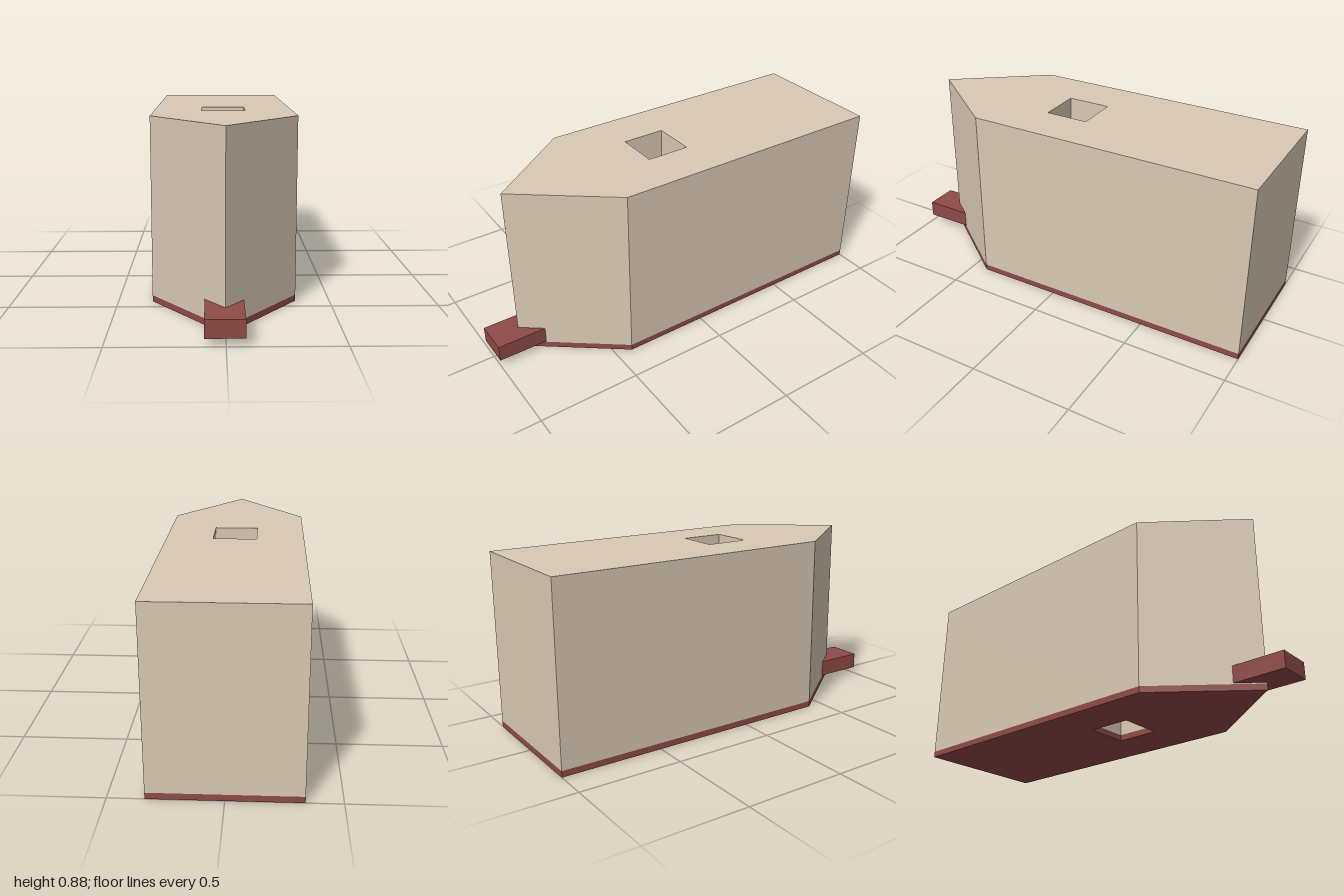
import * as THREE from 'three';

const tan = new THREE.MeshStandardMaterial({ color: 0xd9c9b5 });
const red = new THREE.MeshStandardMaterial({ color: 0x8f4a47 });

// Pointed plan outline with a square shaft, extruded upwards from y0 to y1
function slab(name, y0, y1, material) {
  const toPlan = ([x, z]) => new THREE.Vector2(x, -z);
  const outline = [[-0.338, -1], [-0.338, 0.42], [0, 0.86], [0.338, 0.42], [0.338, -1]];
  const shaft = [[-0.106, -0.06], [0.108, -0.06], [0.108, 0.154], [-0.106, 0.154]];
  const shape = new THREE.Shape(outline.map(toPlan));
  shape.holes.push(new THREE.Path(shaft.map(toPlan)));
  const geometry = new THREE.ExtrudeGeometry(shape, { depth: y1 - y0, bevelEnabled: false });
  geometry.rotateX(-Math.PI / 2);
  const mesh = new THREE.Mesh(geometry, material);
  mesh.position.y = y0;
  mesh.name = name;
  return mesh;
}

export function createModel() {
  const model = new THREE.Group();
  model.name = 'pointedBlock';

  // Thin base plate and tall body share the same plan
  model.add(slab('basePlate', 0, 0.03, red));
  model.add(slab('body', 0.03, 0.88, tan));

  // Short bar sticking out of the pointed front
  const bar = new THREE.Mesh(new THREE.BoxGeometry(0.17, 0.082, 0.26), red);
  bar.position.set(-0.004, 0.076, 0.87);
  bar.name = 'frontBar';
  model.add(bar);

  return model;
}
